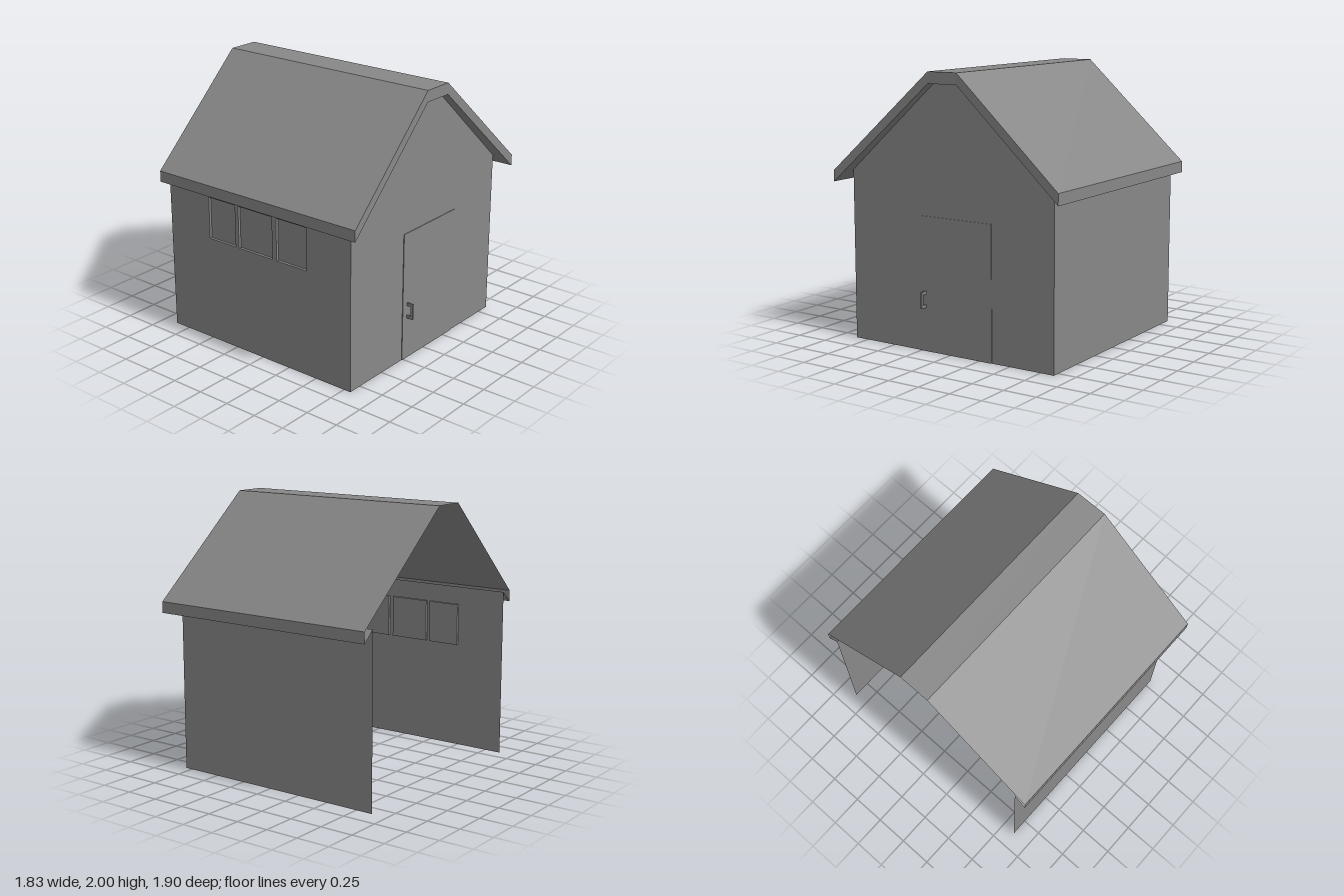
import * as THREE from 'three';

const mat = new THREE.MeshStandardMaterial({ color: 0x888888, flatShading: true, side: THREE.DoubleSide });

const X0 = -0.88, X1 = 0.806, WALL_Z = 0.857, WALL_Y = 1.26;

function add(parent, name, geometry) {
  const mesh = new THREE.Mesh(geometry, mat);
  mesh.name = name;
  parent.add(mesh);
  return mesh;
}

function box(parent, name, x0, x1, y0, y1, z0, z1) {
  const mesh = add(parent, name, new THREE.BoxGeometry(x1 - x0, y1 - y0, z1 - z0));
  mesh.position.set((x0 + x1) / 2, (y0 + y1) / 2, (z0 + z1) / 2);
}

// Flat facets between two polylines of equal length
function strip(a, b) {
  const pos = [];
  for (let i = 0; i < a.length - 1; i++) {
    pos.push(...a[i], ...b[i], ...b[i + 1], ...a[i], ...b[i + 1], ...a[i + 1]);
  }
  const g = new THREE.BufferGeometry();
  g.setAttribute('position', new THREE.Float32BufferAttribute(pos, 3));
  g.computeVertexNormals();
  return g;
}

const rectangle = (x0, x1, y0, y1) => [[x0, y0], [x1, y0], [x1, y1], [x0, y1]];
const toPoints = (list) => list.map(([x, y]) => new THREE.Vector2(x, y));

export function createModel() {
  const house = new THREE.Group();
  house.name = 'house';

  // Front wall with three shallow window recesses
  const wall = new THREE.Shape(toPoints(rectangle(X0, X1, 0, WALL_Y)));
  const windows = new THREE.Group();
  windows.name = 'windows';
  house.add(windows);
  for (const [x0, x1] of [[-0.49, -0.237], [-0.205, 0.11], [0.15, 0.42]]) {
    const r = rectangle(x0, x1, 0.804, 1.122);
    wall.holes.push(new THREE.Path(toPoints(r)));
    const loop = [...r, r[0]];
    const inner = WALL_Z - 0.02;
    add(windows, 'windowReveal', strip(loop.map((p) => [...p, inner]), loop.map((p) => [...p, WALL_Z])));
    add(windows, 'windowPane', new THREE.ShapeGeometry(new THREE.Shape(toPoints(r)))).position.z = inner;
  }
  add(house, 'frontWall', new THREE.ShapeGeometry(wall)).position.z = WALL_Z;

  // Plain back wall, outward side facing -z
  add(house, 'backWall', strip(
    [[X1, WALL_Y, -WALL_Z], [X0, WALL_Y, -WALL_Z]],
    [[X1, 0, -WALL_Z], [X0, 0, -WALL_Z]]));

  // Roof profiles as [z, y, shift]; the ridge is shifted slightly towards -x
  const LEFT = 0.914, OPEN = -0.88, DEPTH = 0.083;
  const outer = [[0.95, 1.26, 0], [0.12, 2, -0.035], [-0.12, 2, -0.035], [-0.95, 1.26, 0]];
  const under = outer.map(([z, y, s]) => [z, y - DEPTH, s]);
  const atEnd = (profile, x) => profile.map(([z, y, s]) => [x + s, y, z]);

  // Gable wall; the opposite end stays open
  const gable = new THREE.Shape(toPoints([
    [-WALL_Z, 0], [WALL_Z, 0], [WALL_Z, WALL_Y], [0.12, 2 - DEPTH], [-0.12, 2 - DEPTH], [-WALL_Z, WALL_Y]]));
  const gableWall = add(house, 'gableWall', new THREE.ShapeGeometry(gable));
  gableWall.rotation.y = Math.PI / 2;
  gableWall.position.x = X1;

  const roof = new THREE.Group();
  roof.name = 'roof';
  house.add(roof);
  add(roof, 'roofPanels', strip(atEnd(outer, OPEN), atEnd(outer, LEFT)));
  add(roof, 'bargeboard', strip(atEnd(under, LEFT), atEnd(outer, LEFT)));
  const gableLine = under.map(([z, y]) => [X1, y, z]);
  add(roof, 'gableOverhang', strip(atEnd(under, LEFT), gableLine));

  // Eaves: fascia board and sloping soffit on both long sides
  const EAVE = 1.26 - DEPTH;
  for (const z of [0.95, -0.95]) {
    const wallZ = Math.sign(z) * WALL_Z;
    add(roof, 'fascia', strip(
      [[OPEN, EAVE, z], [LEFT, EAVE, z]],
      [[OPEN, 1.26, z], [LEFT, 1.26, z]]));
    add(roof, 'soffit', strip(
      [[OPEN, EAVE, z], [X1, EAVE, z]],
      [[OPEN, WALL_Y, wallZ], [X1, WALL_Y, wallZ]]));
  }

  // Thin door slab and bracket handle on the gable wall
  box(house, 'door', X1, 0.811, 0, 0.98, -0.355, 0.264);
  const handle = new THREE.Group();
  handle.name = 'doorHandle';
  house.add(handle);
  box(handle, 'handleGrip', 0.845, 0.861, 0.32, 0.44, 0.203, 0.217);
  for (const y of [0.32, 0.418]) box(handle, 'handleArm', 0.811, 0.845, y, y + 0.022, 0.203, 0.217);

  return house;
}
